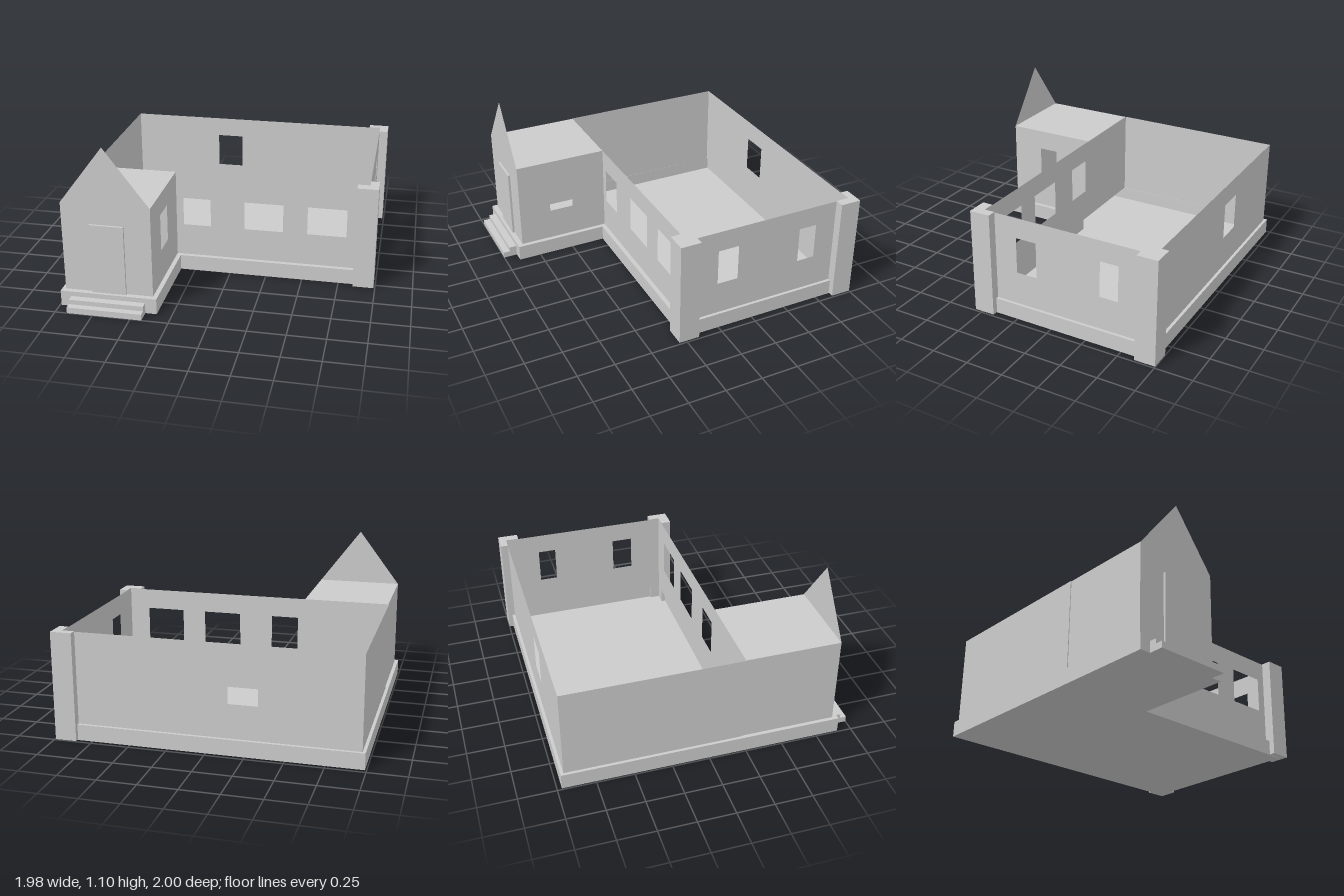
import * as THREE from 'three';

const BASE = 0.11, TOP = 0.72;
const solid = new THREE.MeshStandardMaterial({ color: 0xcccccc });
const thin = new THREE.MeshStandardMaterial({ color: 0xcccccc, side: THREE.DoubleSide });

const toPoints = (list) => list.map(([a, b]) => new THREE.Vector2(a, b));
const rect = (a0, a1, b0, b1) => [[a0, b0], [a1, b0], [a1, b1], [a0, b1]];

function panelShape(outline, holes = []) {
  const shape = new THREE.Shape(toPoints(outline));
  for (const h of holes) shape.holes.push(new THREE.Path(toPoints(h)));
  return shape;
}

export function createModel() {
  const model = new THREE.Group();
  model.name = 'house';

  const add = (name, geometry, material) => {
    const mesh = new THREE.Mesh(geometry, material);
    mesh.name = name;
    model.add(mesh);
    return mesh;
  };
  const box = (name, x0, x1, y0, y1, z0, z1) =>
    add(name, new THREE.BoxGeometry(x1 - x0, y1 - y0, z1 - z0)
      .translate((x0 + x1) / 2, (y0 + y1) / 2, (z0 + z1) / 2), solid);
  // Horizontal sheet drawn in x, z
  const sheet = (name, y, outline, holes) =>
    add(name, new THREE.ShapeGeometry(panelShape(outline, holes)).rotateX(Math.PI / 2).translate(0, y, 0), thin);
  // Upright sheet facing z, drawn in x, y
  const wallZ = (name, z, outline, holes) =>
    add(name, new THREE.ShapeGeometry(panelShape(outline, holes)).translate(0, 0, z), thin);
  // Upright sheet facing x, drawn in z, y
  const wallX = (name, x, outline, holes) =>
    add(name, new THREE.ShapeGeometry(panelShape(outline, holes)).rotateY(-Math.PI / 2).translate(x, 0, 0), thin);
  const opening = (a, b) => rect(a, b, 0.335, 0.58);

  // Hollow foundation: floor, skirt and ledge around the wall line
  const outer = [[-0.99, -0.97], [0.95, -0.97], [0.95, 0.26], [-0.35, 0.26], [-0.35, 0.905], [-0.99, 0.905]];
  const inner = [[-0.97, -0.95], [0.93, -0.95], [0.93, 0.23], [-0.38, 0.23], [-0.38, 0.87], [-0.965, 0.87]];
  sheet('floor', 0.004, outer);
  sheet('foundationLedge', BASE, outer, [inner]);
  outer.forEach(([x0, z0], i) => {
    const [x1, z1] = outer[(i + 1) % outer.length];
    if (z0 === z1) wallZ('foundationSkirt', z0, rect(Math.min(x0, x1), Math.max(x0, x1), 0.004, BASE));
    else wallX('foundationSkirt', x0, rect(Math.min(z0, z1), Math.max(z0, z1), 0.004, BASE));
  });

  // Roofless main room
  wallZ('backWall', -0.95, rect(-0.97, 0.93, BASE, TOP), [opening(-0.33, -0.14)]);
  wallZ('frontWall', 0.23, rect(-0.97, 0.93, BASE, TOP),
    [opening(-0.33, -0.14), opening(0.095, 0.36), opening(0.525, 0.79)]);
  wallX('windowSideWall', 0.93, rect(-0.95, 0.23, BASE, TOP), [opening(-0.14, 0.005), opening(-0.715, -0.59)]);
  wallX('plainSideWall', -0.97, rect(-0.95, 0.23, BASE, TOP));

  // Entrance wing with flat roof and standing gable
  wallX('wingOuterWall', -0.965, rect(0.23, 0.87, BASE, TOP));
  wallX('wingInnerWall', -0.38, rect(0.23, 0.87, BASE, TOP), [rect(0.475, 0.645, 0.33, 0.58)]);
  wallZ('gableWall', 0.87, [[-0.965, BASE], [-0.38, BASE], [-0.38, TOP], [-0.672, 1.105], [-0.965, TOP]]);
  sheet('wingRoof', TOP, rect(-0.965, -0.38, 0.23, 0.87));
  box('door', -0.78, -0.555, BASE, 0.585, 0.87, 0.885);

  // Entrance steps
  box('lowerStep', -0.92, -0.425, 0.004, 0.045, 0.905, 1);
  box('upperStep', -0.92, -0.425, 0.045, 0.077, 0.905, 0.955);

  // L-shaped corner pillars wrapped around the window side wall's ends
  const pillars = [
    [[0.85, 0.3], [0.85, 0.23], [0.93, 0.23], [0.93, 0.16], [0.99, 0.16], [0.99, 0.3]],
    [[0.85, -1], [0.99, -1], [0.99, -0.86], [0.93, -0.86], [0.93, -0.95], [0.85, -0.95]],
  ];
  for (const outline of pillars) {
    const geometry = new THREE.ExtrudeGeometry(panelShape(outline), { depth: 0.715, bevelEnabled: false });
    add('cornerPillar', geometry.rotateX(Math.PI / 2).translate(0, 0.723, 0), solid);
  }

  return model;
}
